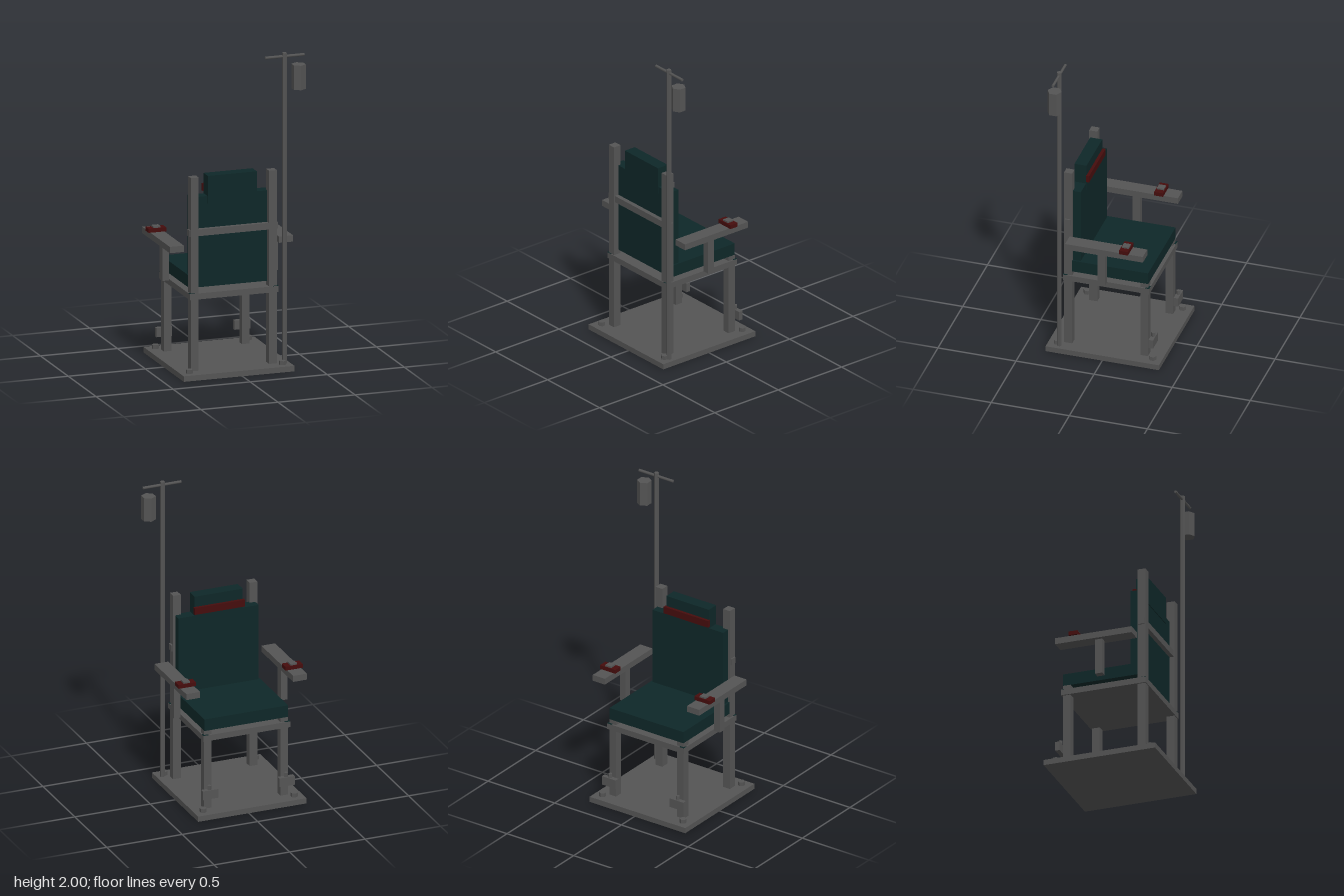
import * as THREE from 'three';

export function createModel() {
  const model = new THREE.Group();
  model.name = 'restraintChair';

  const mat = (name, color) => {
    const m = new THREE.MeshStandardMaterial({ color });
    m.name = name;
    return m;
  };
  const steel = mat('dark steel', 0x545454);
  const padding = mat('dark green padding', 0x0e2728);
  const strap = mat('dark red strap', 0x450d0d);

  const CX = -0.0225; // chair centre line, the drip stand sits off to the side

  const add = (name, geometry, material, x, y, z) => {
    const mesh = new THREE.Mesh(geometry, material);
    mesh.name = name;
    mesh.position.set(x, y, z);
    model.add(mesh);
    return mesh;
  };
  // Box given by centre x, width, and its y and z ranges
  const box = (name, material, x, w, y0, y1, z0, z1) =>
    add(name, new THREE.BoxGeometry(w, y1 - y0, z1 - z0), material, x, (y0 + y1) / 2, (z0 + z1) / 2);
  // Upright prism between two heights
  const prism = (name, material, sides, r, x, z, y0, y1) =>
    add(name, new THREE.CylinderGeometry(r, r, y1 - y0, sides).toNonIndexed(), material, x, (y0 + y1) / 2, z)
      .geometry.computeVertexNormals();

  // Floor plate and seat frame
  box('basePlate', steel, CX, 0.718, 0, 0.035, -0.363, 0.363);
  box('seatFrame', steel, CX, 0.575, 0.487, 0.525, -0.278, 0.275);

  // Padding
  box('seatCushion', padding, CX, 0.554, 0.553, 0.63, -0.268, 0.236);
  box('backCushion', padding, CX, 0.53, 0.63, 1.125, 0.167, 0.236);
  box('headrest', padding, CX, 0.318, 1.08, 1.253, 0.164, 0.241);
  box('headStrap', strap, CX, 0.333, 1.14, 1.185, 0.145, 0.166);
  box('backCrossbar', steel, CX, 0.575, 0.884, 0.926, 0.226, 0.264);

  for (const s of [-1, 1]) {
    // Legs and back posts
    box('backPost', steel, CX + s * 0.2535, 0.05, 0.035, 1.257, 0.218, 0.27);
    box('frontLeg', steel, CX + s * 0.2535, 0.05, 0.035, 0.553, -0.267, -0.218);

    // Ankle clamps with a four-sided pin
    box('ankleClamp', steel, CX + s * 0.2535, 0.103, 0.112, 0.17, -0.308, -0.279);
    prism('anklePin', steel, 4, 0.014, CX + s * 0.2535, -0.293, 0.12, 0.197);

    // Armrests with wrist straps and buckles
    box('armrest', steel, CX + s * 0.354, 0.091, 0.782, 0.822, -0.273, 0.225);
    box('armrestPost', steel, CX + s * 0.354, 0.043, 0.553, 0.782, -0.023, 0.025);
    box('wristStrap', strap, CX + s * 0.354, 0.115, 0.822, 0.847, -0.181, -0.124);
    box('wristBuckle', steel, CX + s * 0.354, 0.044, 0.84, 0.857, -0.175, -0.131);

    for (const t of [-1, 1]) {
      // Floor bolts and padded frame corners
      prism('floorBolt', steel, 6, 0.022, CX + s * 0.302, t * 0.306, 0.035, 0.06);
      box('cornerPad', padding, CX + s * 0.27, 0.034, 0.525, 0.527, t * 0.263 - 0.0145, t * 0.263 + 0.0115);
    }
  }

  // Drip stand
  prism('standPole', steel, 6, 0.015, 0.299, 0.287, 0.035, 2);
  const hook = add('standCrossbar', new THREE.CylinderGeometry(0.009, 0.009, 0.254, 6), steel, 0.301, 1.978, 0.287);
  hook.rotation.z = Math.PI / 2;
  prism('dripBag', steel, 6, 0.045, 0.391, 0.287, 1.765, 1.92);

  return model;
}
